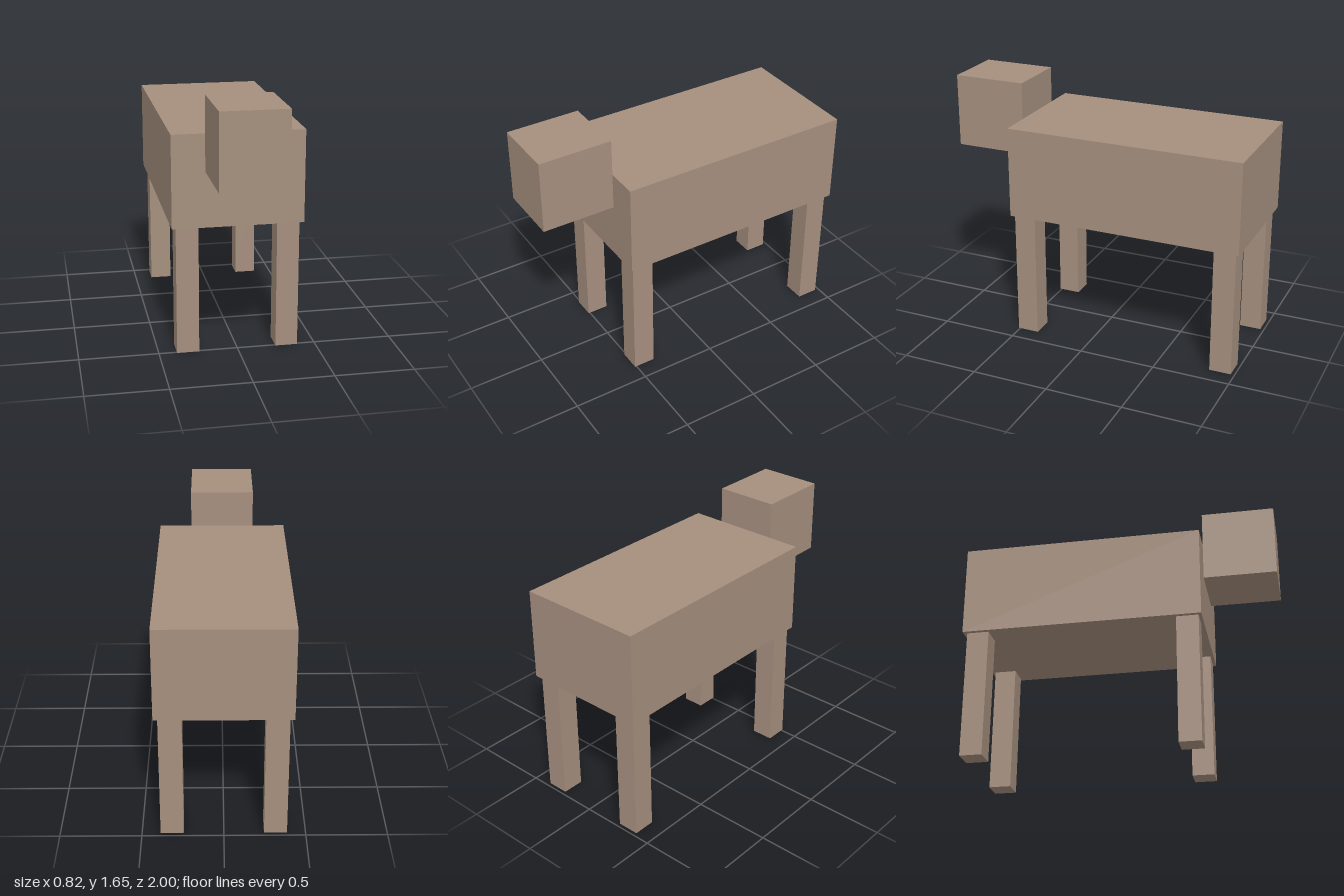
import * as THREE from 'three';

export function createModel() {
  const model = new THREE.Group();
  model.name = 'blockAnimal';
  const hide = new THREE.MeshStandardMaterial({ color: 0xa58f7e, flatShading: true });

  const addBox = (name, size, position) => {
    const mesh = new THREE.Mesh(new THREE.BoxGeometry(...size), hide);
    mesh.name = name;
    mesh.position.set(...position);
    model.add(mesh);
  };

  const legHeight = 0.824;

  // Body and raised head, meeting at the chest
  addBox('body', [0.824, 0.588, 1.53], [0, legHeight + 0.294, -0.235]);
  addBox('head', [0.41, 0.47, 0.47], [0, 1.412, 0.765]);

  // Four square legs, slightly inset from the body corners
  for (const [end, z] of [['front', 0.44], ['back', -0.905]]) {
    for (const [side, sign] of [['Left', 1], ['Right', -1]]) {
      addBox(`${end}${side}Leg`, [0.141, legHeight, 0.141], [sign * 0.316, legHeight / 2, z]);
    }
  }

  return model;
}
